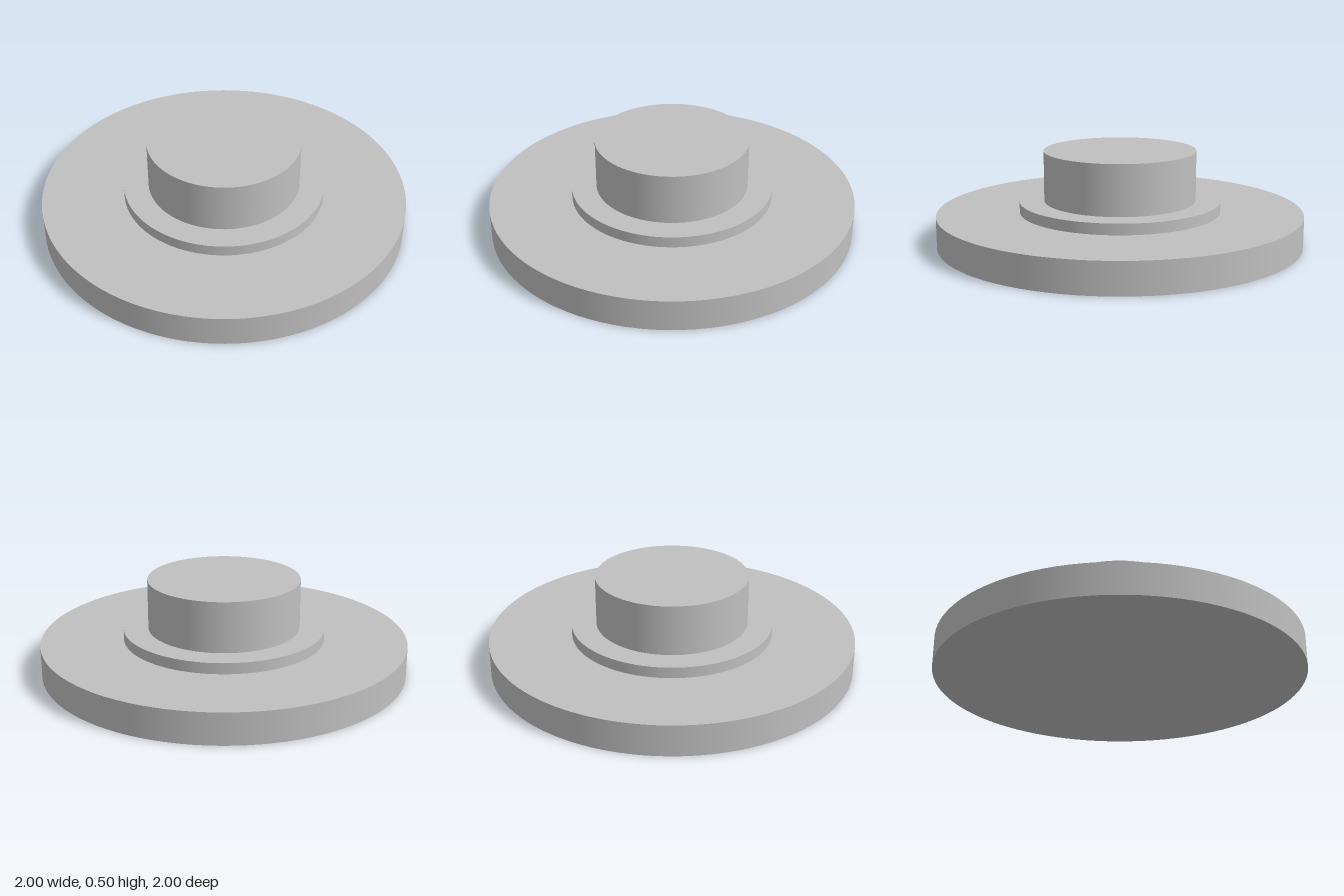
import * as THREE from 'three';

export function createModel() {
  const model = new THREE.Group();
  model.name = 'steppedDisc';

  const grey = new THREE.MeshStandardMaterial({ color: 0xc0c0c0 });
  grey.name = 'light grey';

  // Stacked round steps: name, radius, bottom, top
  const steps = [
    ['baseDisc', 1, 0, 0.17],
    ['collar', 0.55, 0.17, 0.23],
    ['hub', 0.415, 0.23, 0.505],
  ];
  for (const [name, radius, bottom, top] of steps) {
    const geometry = new THREE.CylinderGeometry(radius, radius, top - bottom, 96);
    const mesh = new THREE.Mesh(geometry, grey);
    mesh.name = name;
    mesh.position.y = (bottom + top) / 2;
    model.add(mesh);
  }
  return model;
}
